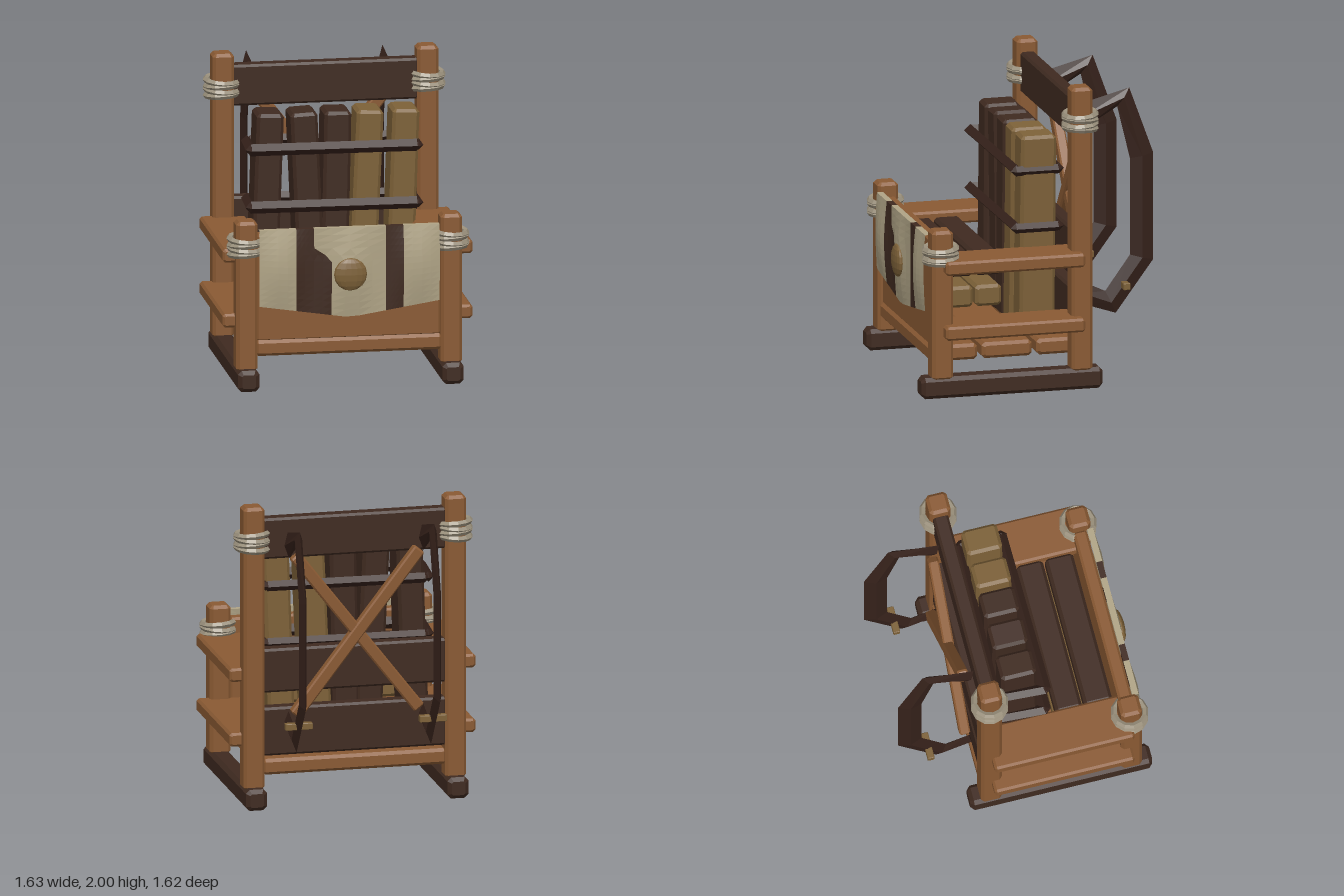
import * as THREE from 'three';

const OAK = 0x8a5a33, DARK = 0x3f2a20, TAN = 0x7d6138, CREAM = 0xb0a486, ROPE = 0x9a907c, STRAP = 0x35211a;

const material = (color) =>
  new THREE.MeshStandardMaterial({ color, flatShading: true, side: THREE.DoubleSide });

function add(parent, name, geometry, color) {
  const mesh = new THREE.Mesh(geometry, material(color));
  mesh.name = name;
  parent.add(mesh);
  return mesh;
}

// Chamfered timber filling the given ranges, extruded along its longest side
function timber(parent, name, color, [x0, x1], [y0, y1], [z0, z1], c = 0.015) {
  const d = [x1 - x0, y1 - y0, z1 - z0];
  const axis = d.indexOf(Math.max(...d));
  const [w, h] = axis === 0 ? [d[2], d[1]] : axis === 1 ? [d[0], d[2]] : [d[0], d[1]];
  const a = w / 2, b = h / 2;
  const outline = [[-a + c, -b], [a - c, -b], [a, -b + c], [a, b - c],
    [a - c, b], [-a + c, b], [-a, b - c], [-a, -b + c]];
  const geo = new THREE.ExtrudeGeometry(
    new THREE.Shape(outline.map((p) => new THREE.Vector2(...p))),
    { depth: d[axis] - 2 * c, bevelThickness: c, bevelSize: c, bevelOffset: -c, bevelSegments: 1 });
  geo.center();
  if (axis === 0) geo.rotateY(Math.PI / 2);
  if (axis === 1) geo.rotateX(-Math.PI / 2);
  const mesh = add(parent, name, geo, color);
  mesh.position.set((x0 + x1) / 2, (y0 + y1) / 2, (z0 + z1) / 2);
  return mesh;
}

// Three rope turns around a post
function ropeWrap(parent, x, y, z) {
  const wrap = new THREE.Group();
  wrap.name = 'ropeWrap';
  for (let i = 0; i < 4; i++) {
    const turn = add(wrap, 'ropeTurn', new THREE.TorusGeometry(0.102, 0.021, 5, 12), ROPE);
    turn.rotation.set(Math.PI / 2 + (i % 2 ? 0.06 : -0.05), i % 2 ? -0.07 : 0.06, 0);
    turn.position.y = (i - 1.5) * 0.03;
  }
  wrap.position.set(x, y, z);
  parent.add(wrap);
}

// Straight strap with a diamond section and pointed ends
function strap(parent, a, b, r) {
  const from = new THREE.Vector3(...a), dir = new THREE.Vector3(...b).sub(from);
  const len = dir.length(), tip = 0.035;
  const geo = new THREE.LatheGeometry([[0, 0], [r, tip], [r, len - tip], [0, len]]
    .map((p) => new THREE.Vector2(...p)), 4);
  const mesh = add(parent, 'strap', geo, STRAP);
  mesh.position.copy(from);
  mesh.quaternion.setFromUnitVectors(new THREE.Vector3(0, 1, 0), dir.normalize());
}

// Curved frame: diamond cross-sections running from outer to inner edge, as [z, y] pairs
function curvedFrame() {
  const outer = [[-0.31, 1.82], [-0.65, 1.91], [-0.81, 1.47], [-0.81, 0.76], [-0.56, 0.42], [-0.32, 0.5]];
  const inner = [[-0.35, 1.66], [-0.57, 1.79], [-0.655, 1.44], [-0.655, 0.8], [-0.49, 0.57], [-0.34, 0.64]];
  const pos = [], index = [];
  outer.forEach(([z, y], i) => {
    const [zi, yi] = inner[i], zm = (z + zi) / 2, ym = (y + yi) / 2;
    pos.push(0, y, z, 0.025, ym, zm, 0, yi, zi, -0.025, ym, zm);
    if (i === 0) return;
    for (let k = 0; k < 4; k++) {
      const a = (i - 1) * 4 + k, b = (i - 1) * 4 + (k + 1) % 4;
      index.push(a, a + 4, b, b, a + 4, b + 4);
    }
  });
  const e = pos.length / 3 - 4;
  index.push(0, 1, 2, 0, 2, 3, e, e + 2, e + 1, e, e + 3, e + 2);
  const geo = new THREE.BufferGeometry();
  geo.setAttribute('position', new THREE.Float32BufferAttribute(pos, 3));
  geo.setIndex(index);
  geo.computeVertexNormals();
  return geo;
}

// One coloured panel of the hide between two edges that depend on height
function hidePanel(parent, color, left, right) {
  const rows = 14, geo = new THREE.PlaneGeometry(1, 1, 4, rows), p = geo.attributes.position;
  for (let i = 0; i < p.count; i++) {
    const u = p.getX(i) + 0.5, row = Math.round((0.5 - p.getY(i)) * rows);
    const t = Math.max(0, (row - 1) / (rows - 1)); // first row folds back over the top
    const guess = 1.055 - 0.55 * t;
    const x = THREE.MathUtils.lerp(left(guess), right(guess), u);
    const y = THREE.MathUtils.lerp(1.055, 0.46 + Math.abs(x) * 0.155, t);
    const bulge = (0.5 + 0.5 * Math.cos(x * Math.PI * 2 / 0.45)) * Math.sin(Math.PI * t);
    p.setXYZ(i, x, y, row === 0 ? 0.71 : 0.75 + 0.03 * bulge);
  }
  geo.computeVertexNormals();
  add(parent, 'hidePanel', geo, color);
}

export function createModel() {
  const model = new THREE.Group();
  model.name = 'timberRack';

  for (const s of [-1, 1]) {
    const span = (a, b) => (s > 0 ? [a, b] : [-b, -a]);
    // Runners, posts and lashings
    timber(model, 'runner', DARK, span(0.597, 0.737), [0, 0.14], [-0.4, 0.81], 0.025);
    timber(model, 'backPost', OAK, span(0.597, 0.737), [0.12, 2], [-0.33, -0.19], 0.02);
    timber(model, 'frontPost', OAK, span(0.597, 0.737), [0.12, 1.11], [0.6, 0.74], 0.02);
    ropeWrap(model, s * 0.67, 1.77, -0.26);
    ropeWrap(model, s * 0.67, 0.94, 0.67);
    // Side shelves
    for (const y of [0.4, 0.83])
      timber(model, 'sideShelf', OAK, span(0.515, 0.815), [y, y + 0.09], [-0.26, 0.67]);
    // Curved rear frames with pegs
    add(model, 'curvedFrame', curvedFrame(), STRAP).position.x = s * 0.445;
    timber(model, 'peg', TAN, span(0.355, 0.535), [0.587, 0.632], [-0.635, -0.59], 0.004);
    // Crossed rear brace
    const brace = timber(model, 'crossBrace', OAK, [-0.04, 0.04], [0.48, 1.82], [-0.4, -0.33], 0.01);
    brace.rotation.z = s * 0.66;
    brace.position.z -= s * 0.004;
  }

  // Floor planks
  for (const [a, b] of [[-0.32, 0.01], [0.04, 0.375], [0.405, 0.725]])
    timber(model, 'floorPlank', OAK, [-0.61, 0.61], [0.215, 0.32], [a, b], 0.02);

  // Front and back boards
  timber(model, 'frontPanel', OAK, [-0.6, 0.6], [0.31, 1.02], [0.62, 0.71]);
  for (const [a, b] of [[0.34, 0.66], [0.76, 1.05], [1.65, 1.92]])
    timber(model, 'backBoard', DARK, [-0.61, 0.61], [a, b], [-0.31, -0.21]);

  // Stacked planks lying across the inside
  for (const [a, b] of [[0.22, 0.395], [0.41, 0.595]]) {
    timber(model, 'upperStack', DARK, [-0.52, 0.52], [0.745, 0.885], [a, b], 0.02);
    timber(model, 'lowerStack', TAN, [-0.52, 0.52], [0.54, 0.68], [a, b], 0.02);
  }

  // Upright planks, slightly leaning
  const lean = [0.035, -0.045, 0.02, 0.045, 0.035];
  [-0.43, -0.16, 0.02, 0.215, 0.455].forEach((x, i) => {
    const plank = timber(model, 'uprightPlank', i < 3 ? DARK : TAN,
      [x - 0.088, x + 0.088], [0.35, 1.66], [-0.135, 0.1], 0.02);
    plank.rotation.z = -lean[i];
  });

  // Straps around the upright planks
  for (const y of [1.05, 1.43]) {
    strap(model, [-0.58, y + 0.01, 0.14], [0.575, y, 0.125], 0.04);
    strap(model, [-0.53, y, -0.18], [0.575, y, -0.155], 0.034);
    strap(model, [-0.545, y + 0.01, 0.18], [-0.52, y, -0.2], 0.036);
    strap(model, [0.55, y, 0.17], [0.55, y, -0.18], 0.032);
  }

  // Striped hide with a round boss over the front panel
  const hide = new THREE.Group();
  hide.name = 'hide';
  model.add(hide);
  const step = (y) => -0.235 + 0.115 * THREE.MathUtils.clamp((0.93 - y) / 0.07, 0, 1);
  const edges = [-0.59, -0.35, step, 0.235, 0.35, 0.585].map((e) => (typeof e === 'function' ? e : () => e));
  for (let i = 0; i < 5; i++) hidePanel(hide, i % 2 ? DARK : CREAM, edges[i], edges[i + 1]);
  const boss = add(hide, 'boss', new THREE.SphereGeometry(0.108, 16, 8), TAN);
  boss.scale.z = 0.3;
  boss.position.set(0, 0.75, 0.775);

  return model;
}
